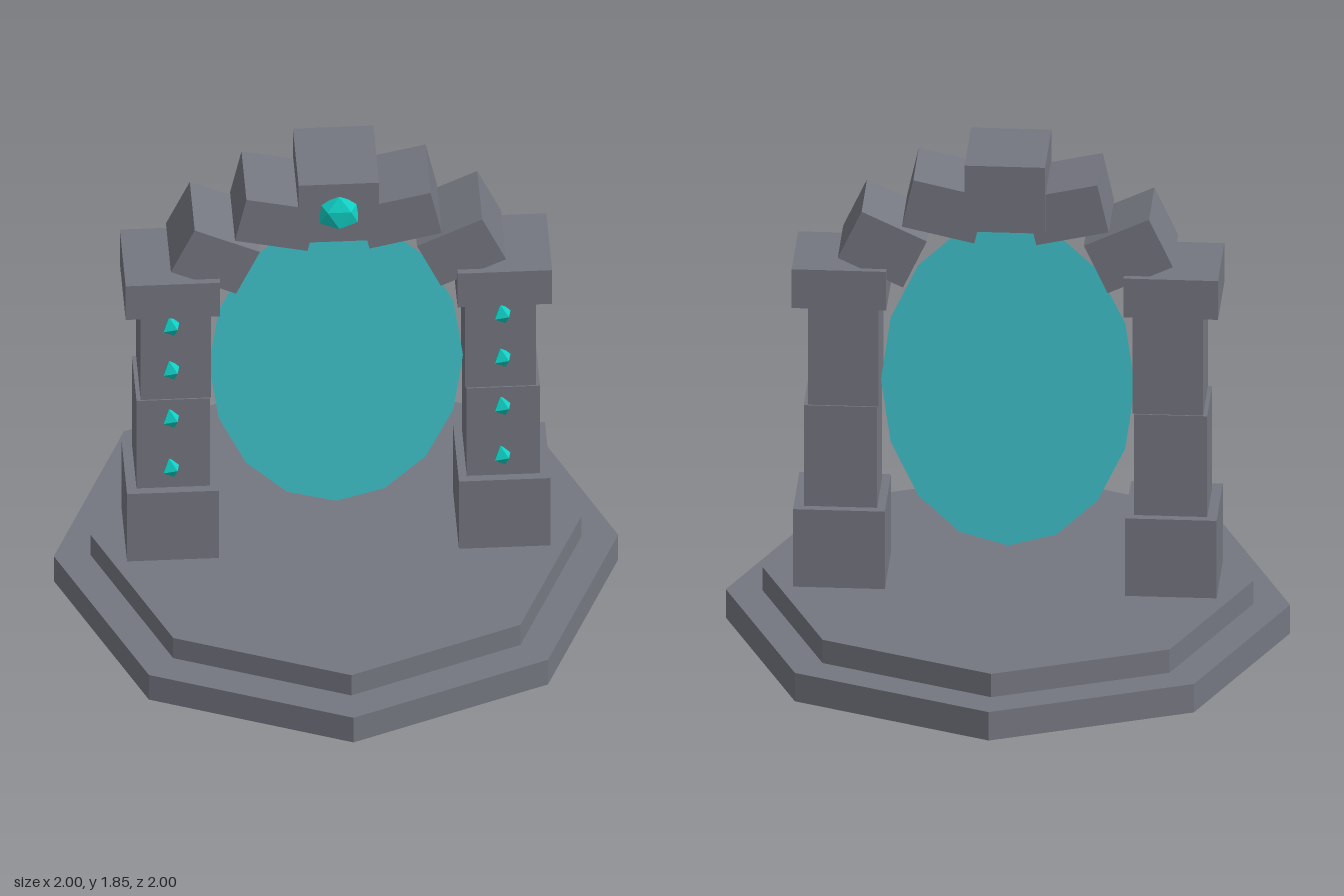
import * as THREE from 'three';

const mat = (name, color, side = THREE.FrontSide) => {
  const m = new THREE.MeshStandardMaterial({ color, side });
  m.flatShading = true;
  m.name = name;
  return m;
};

export function createModel() {
  const stone = mat('stone', 0x757781);
  const gem = mat('gem', 0x10cfc4);
  const glow = mat('portalGlow', 0x40c8d0, THREE.DoubleSide);
  const model = new THREE.Group();
  model.name = 'portalGate';

  const add = (parent, name, geometry, material, x, y, z = 0) => {
    const mesh = new THREE.Mesh(geometry, material);
    mesh.name = name;
    mesh.position.set(x, y, z);
    parent.add(mesh);
    return mesh;
  };
  const block = (parent, name, w, h, d, x, y) =>
    add(parent, name, new THREE.BoxGeometry(w, h, d), stone, x, y);

  // Stepped octagonal platform
  add(model, 'lowerStep', new THREE.CylinderGeometry(1, 1, 0.11, 8), stone, 0, 0.055);
  add(model, 'upperStep', new THREE.CylinderGeometry(0.87, 0.87, 0.09, 8), stone, 0, 0.155);

  // Portal surface: 16-sided oval
  const oval = new THREE.CircleGeometry(1, 16);
  oval.scale(0.45, 0.63, 1);
  add(model, 'portalSurface', oval, glow, 0, 0.94);

  // Small pillar gem, tilted off axis
  const smallGem = new THREE.OctahedronGeometry(0.043);
  smallGem.rotateY(0.6);
  smallGem.rotateZ(0.25);
  smallGem.scale(0.85, 1, 0.8);

  for (const s of [1, -1]) {
    const side = s > 0 ? 'left' : 'right';

    // Pillar: plinth, two shaft blocks and a capital
    const pillar = new THREE.Group();
    pillar.name = side + 'Pillar';
    model.add(pillar);
    block(pillar, 'plinth', 0.325, 0.3, 0.325, s * 0.588, 0.35);
    block(pillar, 'lowerShaft', 0.26, 0.39, 0.262, s * 0.585, 0.695);
    block(pillar, 'upperShaft', 0.25, 0.39, 0.252, s * 0.575, 1.085);
    block(pillar, 'capital', 0.335, 0.15, 0.33, s * 0.588, 1.355);
    for (const y of [0.59, 0.81, 1.025, 1.22]) {
      add(pillar, 'pillarGem', smallGem, gem, s * 0.587 - 0.004, y, 0.136);
    }

    // Tilted arch stones
    const low = block(model, side + 'LowerArchStone', 0.255, 0.2, 0.282, s * 0.436, 1.505);
    low.rotation.z = s * 0.436;
    const high = block(model, side + 'UpperArchStone', 0.263, 0.185, 0.282, s * 0.218, 1.658);
    high.rotation.z = s * 0.22;
  }

  // Keystone with a flattened faceted gem
  block(model, 'keystone', 0.285, 0.255, 0.332, 0, 1.723);
  const bigGem = new THREE.IcosahedronGeometry(0.079, 0);
  bigGem.rotateX(1.206);
  bigGem.scale(1, 1, 0.5);
  add(model, 'keystoneGem', bigGem, gem, 0, 1.723, 0.166);

  return model;
}
